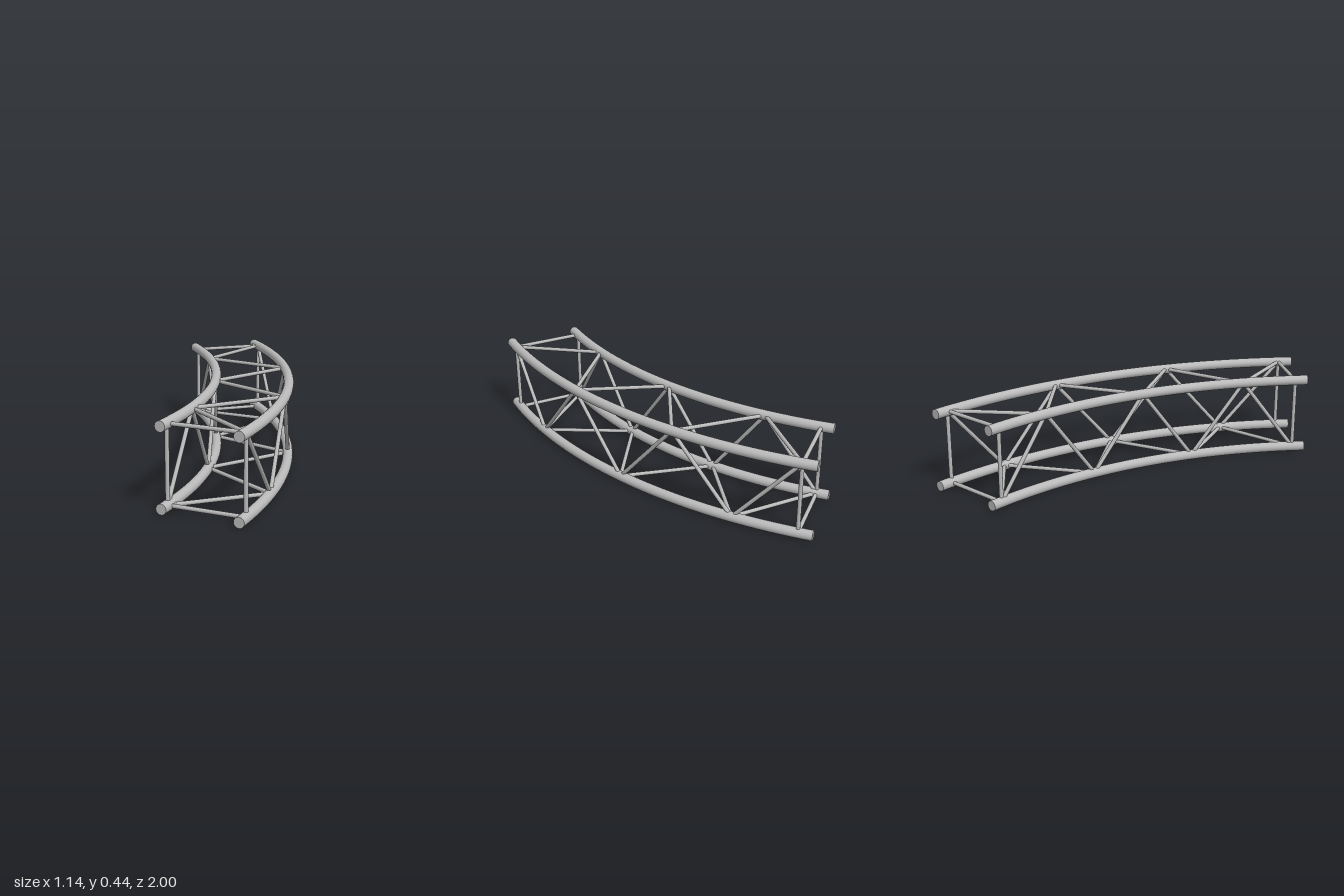
import * as THREE from 'three';

const OUTER = 2.802, INNER = 2.418;      // bend radii of the chords
const LOW = 0.0265, HIGH = 0.411;        // chord axis heights
const CX = -2.262, CZ = 1;               // centre of the bend
const ARC = Math.PI / 4;
const TUBE = 0.0265, ROD = 0.0105;

// Point on a chord axis at a given angle round the bend
const at = (radius, y, a) =>
  new THREE.Vector3(CX + radius * Math.cos(a), y, CZ - radius * Math.sin(a));

export function createModel() {
  const group = new THREE.Group();
  const metal = new THREE.MeshStandardMaterial({ color: 0xbababa });
  metal.name = 'aluminium grey';

  const add = (geometry, name) => {
    const mesh = new THREE.Mesh(geometry, metal);
    mesh.name = name;
    group.add(mesh);
    return mesh;
  };

  // Straight round rod between two points
  const rod = (a, b, name) => {
    const dir = b.clone().sub(a);
    const mesh = add(new THREE.CylinderGeometry(ROD, ROD, dir.length(), 12), name);
    mesh.position.copy(a).add(b).multiplyScalar(0.5);
    mesh.quaternion.setFromUnitVectors(new THREE.Vector3(0, 1, 0), dir.normalize());
  };

  // Four curved main chords with flat end caps
  for (const [radius, side] of [[OUTER, 'outer'], [INNER, 'inner']]) {
    for (const [y, level] of [[LOW, 'Lower'], [HIGH, 'Upper']]) {
      const chord = add(new THREE.TorusGeometry(radius, TUBE, 24, 40, ARC), side + level + 'Chord');
      chord.rotation.x = -Math.PI / 2;
      chord.position.set(CX, y, CZ);
      for (const [a, turn] of [[0, 0], [ARC, ARC + Math.PI]]) {
        const cap = add(new THREE.CircleGeometry(TUBE, 24), side + level + 'Cap');
        cap.position.copy(at(radius, y, a));
        cap.rotation.y = turn;
      }
    }
  }

  // Square end frames
  const first = THREE.MathUtils.degToRad(1.55), last = ARC - first;
  for (const a of [first, last]) {
    for (const y of [LOW, HIGH]) rod(at(INNER, y, a), at(OUTER, y, a), 'endCrossbar');
    for (const r of [INNER, OUTER]) rod(at(r, LOW, a), at(r, HIGH, a), 'endUpright');
  }

  // Zigzag lacing on all four faces, sharing nodes on the chords
  const BAYS = 6;
  const angle = i => first + (last - first) * i / BAYS;
  const even = i => i % 2 === 0;
  const faces = {
    upperLacing: i => at(even(i) ? OUTER : INNER, HIGH, angle(i)),
    lowerLacing: i => at(even(i) ? INNER : OUTER, LOW, angle(i)),
    outerLacing: i => at(OUTER, even(i) ? HIGH : LOW, angle(i)),
    innerLacing: i => at(INNER, even(i) ? LOW : HIGH, angle(i)),
  };
  for (const [name, node] of Object.entries(faces))
    for (let i = 0; i < BAYS; i++) rod(node(i), node(i + 1), name);

  return group;
}
